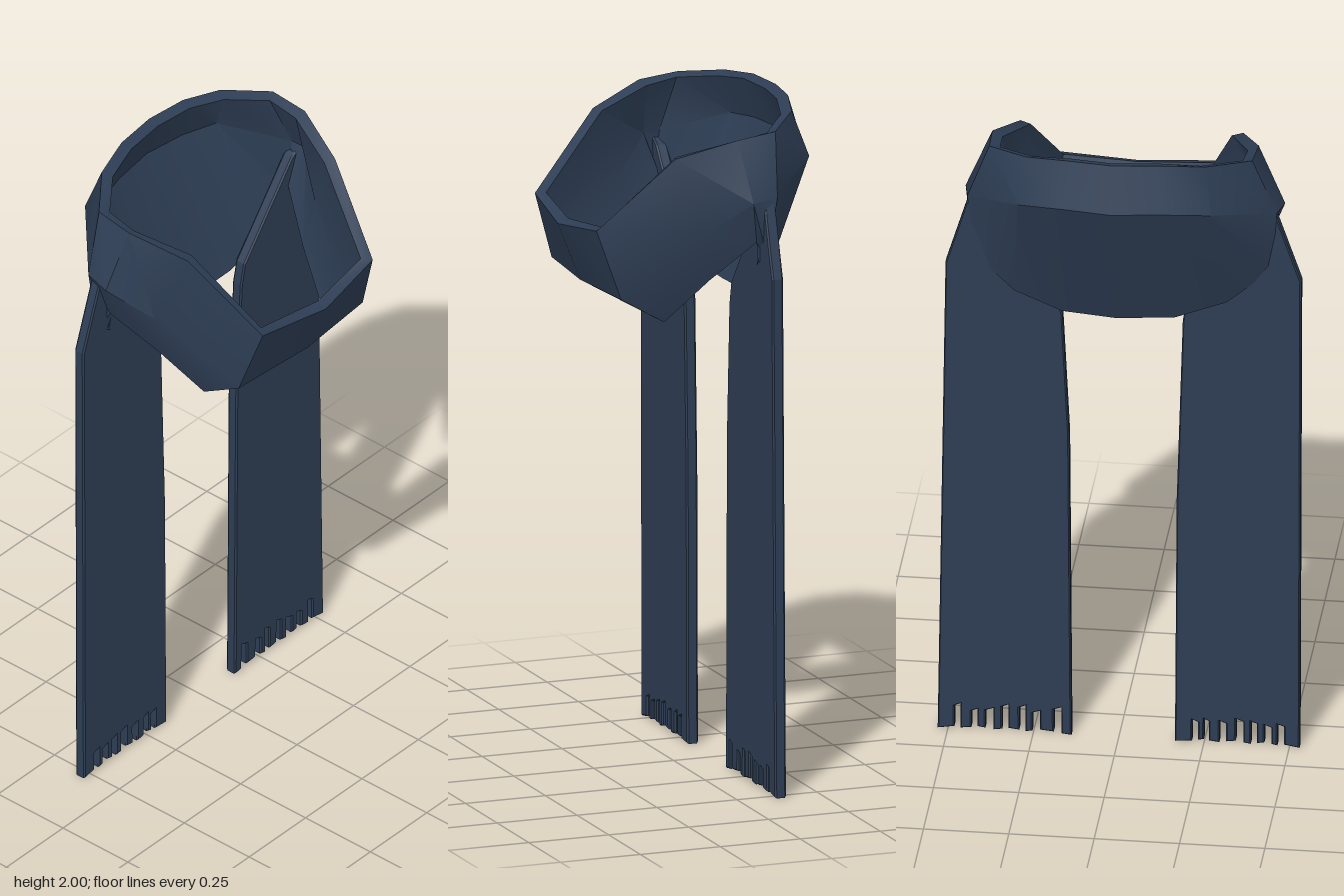
import * as THREE from 'three';
import { toCreasedNormals } from 'three/addons/utils/BufferGeometryUtils.js';

const V = (x, y, z) => new THREE.Vector3(x, y, z);

// Half of the neck wrap, front to back: outer top, middle and bottom of the cloth
const HALF = [
  [V(0, 1.645, 0.362), V(0, 1.47, 0.292), V(0, 1.39, 0.145)],
  [V(0.25, 1.675, 0.335), V(0.282, 1.47, 0.27), V(0.28, 1.39, 0.135)],
  [V(0.335, 1.89, 0.12), V(0.39, 1.67, 0.04), V(0.35, 1.52, 0.02)],
  [V(0.4, 1.945, -0.05), V(0.48, 1.77, -0.07), V(0.425, 1.64, -0.1)],
  [V(0.395, 1.96, -0.17), V(0.465, 1.78, -0.15), V(0.45, 1.58, -0.13)],
  [V(0.27, 1.985, -0.268), V(0.29, 1.85, -0.315), V(0.32, 1.48, -0.16)],
  [V(0.14, 2, -0.305), V(0.15, 1.86, -0.345), V(0.17, 1.43, -0.178)],
  [V(0, 2, -0.32), V(0, 1.86, -0.364), V(0, 1.42, -0.185)],
];

// Closed cloth band with thickness, lofted through the stations
function wrapGeometry(thickness) {
  const side = (s) => (st) => st.map((p) => V(p.x * s, p.y, p.z));
  const rows = [
    ...HALF.map(side(-1)),
    ...HALF.slice(1, -1).reverse().map(side(0.95)),
  ];
  const n = rows.length;
  const loops = rows.map((row, i) => {
    const next = rows[(i + 1) % n], prev = rows[(i + n - 1) % n];
    const inner = row.map((p, j) => {
      const u = next[j].clone().sub(prev[j]);
      const v = row[Math.min(j + 1, 2)].clone().sub(row[Math.max(j - 1, 0)]);
      return p.clone().addScaledVector(u.cross(v).normalize(), -thickness);
    });
    return [...row, ...inner.reverse()];
  });
  const m = 6, index = [];
  for (let i = 0; i < n; i++) {
    for (let j = 0; j < m; j++) {
      const a = i * m + j, b = ((i + 1) % n) * m + j;
      const c = i * m + ((j + 1) % m), d = ((i + 1) % n) * m + ((j + 1) % m);
      index.push(a, b, c, b, d, c);
    }
  }
  const g = new THREE.BufferGeometry().setFromPoints(loops.flat());
  g.setIndex(index);
  return toCreasedNormals(g, 0.6);
}

// Hanging end: outline runs from the outer hem up, over and down to the inner hem;
// gaps are [start, width, top] measured along the hem from the inner edge
function tailGeometry(outline, gaps) {
  const [innerX] = outline[outline.length - 1];
  const dir = Math.sign(outline[0][0] - innerX);
  const pts = outline.map(([x, y]) => new THREE.Vector2(x, y));
  gaps.forEach(([start, width, top], i) => {
    const a = innerX + dir * start, b = a + dir * width;
    const hem = i % 2 ? 0.012 : 0.004;
    pts.push(
      new THREE.Vector2(a, hem), new THREE.Vector2(a, top),
      new THREE.Vector2(b, top - 0.008), new THREE.Vector2(b, 0.008),
    );
  });
  const g = new THREE.ExtrudeGeometry(new THREE.Shape(pts), {
    depth: 0.025, bevelThickness: 0.005, bevelSize: 0.004, bevelOffset: -0.004, bevelSegments: 1,
  });
  g.translate(0, 0, -0.138);
  return g;
}

export function createModel() {
  const navyWool = new THREE.MeshStandardMaterial({ color: 0x2d3d54 });
  navyWool.name = 'navyWool';
  const scarf = new THREE.Group();
  scarf.name = 'scarf';
  const add = (name, geometry) => {
    const mesh = new THREE.Mesh(geometry, navyWool);
    mesh.name = name;
    scarf.add(mesh);
  };

  add('neckWrap', wrapGeometry(0.035));

  // Fringed ends hanging from the back of the wrap
  add('rightTail', tailGeometry(
    [[-0.53, 0], [-0.535, 1.55], [-0.46, 1.77], [-0.41, 1.74], [-0.2, 1.47], [-0.188, 1.4], [-0.17, 0.8], [-0.165, 0]],
    [[0.05, 0.018, 0.075], [0.085, 0.014, 0.08], [0.13, 0.02, 0.075], [0.178, 0.022, 0.085],
      [0.222, 0.018, 0.08], [0.262, 0.02, 0.07], [0.3, 0.02, 0.075]],
  ));
  add('leftTail', tailGeometry(
    [[0.53, 0], [0.507, 1.55], [0.44, 1.77], [0.39, 1.74], [0.18, 1.47], [0.165, 1.4], [0.145, 1], [0.138, 0]],
    [[0.03, 0.022, 0.09], [0.092, 0.022, 0.075], [0.135, 0.018, 0.09], [0.185, 0.018, 0.09],
      [0.228, 0.024, 0.075], [0.275, 0.018, 0.07], [0.325, 0.018, 0.085]],
  ));
  return scarf;
}
